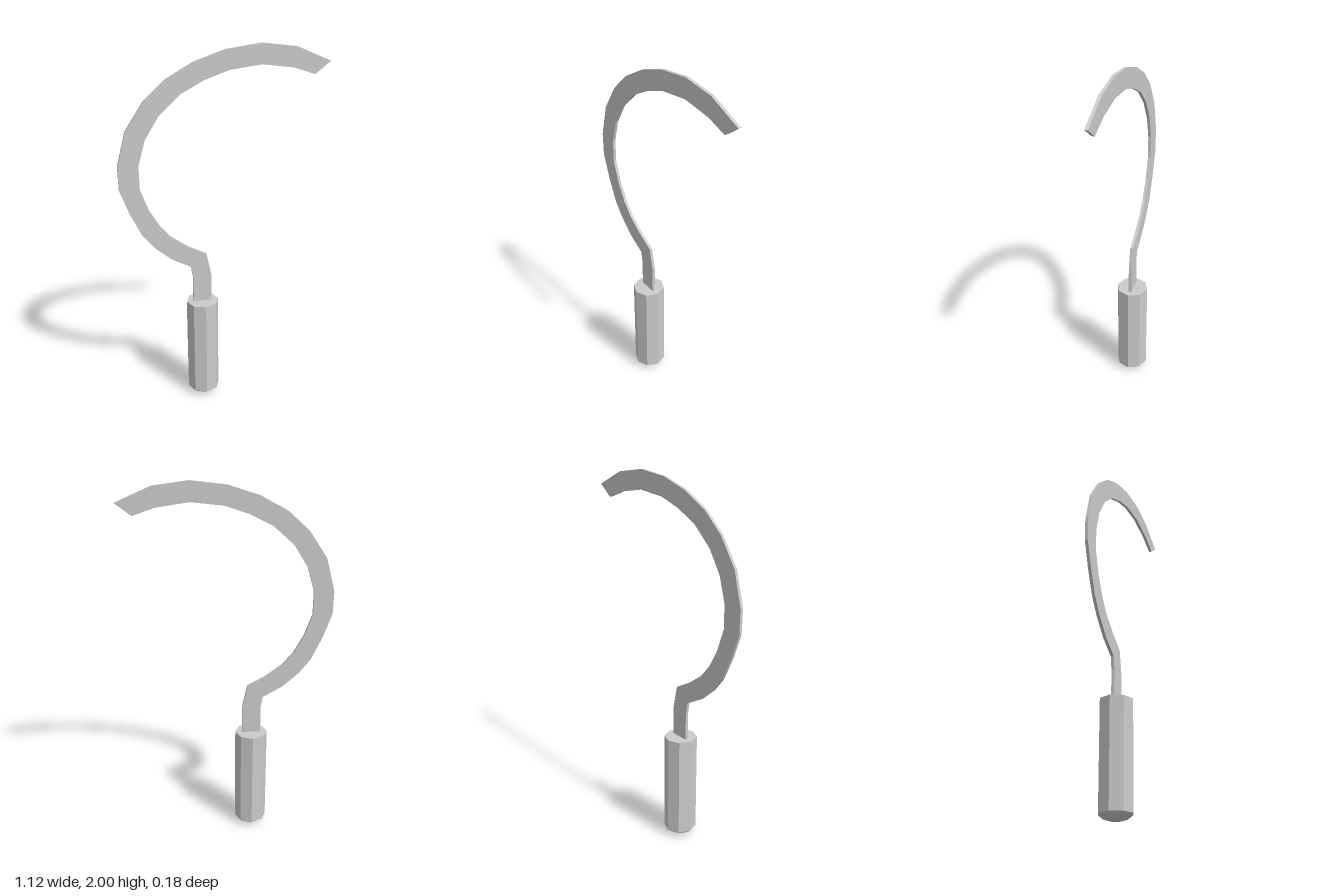
import * as THREE from 'three';

const HANDLE_X = -0.132, RADIUS = 0.09, SIDES = 8, THICKNESS = 0.016;

// Blade outline: outer edge from tang to tip, inner edge likewise
const OUTER = [
  [-0.183, 0.57], [-0.183, 0.75], [-0.193, 0.817], [-0.299, 0.876], [-0.389, 0.955], [-0.452, 1.034],
  [-0.511, 1.161], [-0.558, 1.294], [-0.56, 1.421], [-0.511, 1.601], [-0.415, 1.743], [-0.304, 1.844],
  [-0.161, 1.923], [0.003, 1.977], [0.188, 2.0], [0.373, 1.976], [0.555, 1.897],
];
const INNER = [
  [-0.081, 0.57], [-0.081, 0.76], [-0.107, 0.886], [-0.209, 0.942], [-0.299, 1.008], [-0.357, 1.077],
  [-0.41, 1.172], [-0.453, 1.294], [-0.453, 1.421], [-0.415, 1.55], [-0.341, 1.669], [-0.23, 1.77],
  [-0.108, 1.833], [0.019, 1.876], [0.188, 1.896], [0.357, 1.872], [0.472, 1.833],
];

export function createModel() {
  const group = new THREE.Group();
  const flat = new THREE.MeshStandardMaterial({ color: 0xcccccc, flatShading: true });
  const smooth = new THREE.MeshStandardMaterial({ color: 0xcccccc });

  const add = (name, geometry, material, x, y, z) => {
    const mesh = new THREE.Mesh(geometry, material);
    mesh.name = name;
    mesh.position.set(x, y, z);
    group.add(mesh);
  };

  // Curved blade with its tang, one flat plate
  const outline = [...OUTER, ...[...INNER].reverse()].map(([x, y]) => new THREE.Vector2(x, y));
  const blade = new THREE.ExtrudeGeometry(new THREE.Shape(outline), { depth: THICKNESS, bevelEnabled: false });
  add('blade', blade, flat, 0, 0, -THICKNESS / 2);

  // Octagonal grip: closed on top, open where the domed end meets it
  const base = 0.035, top = 0.6;
  const grip = new THREE.CylinderGeometry(RADIUS, RADIUS, top - base, SIDES, 1);
  add('handle', grip, flat, HANDLE_X, (top + base) / 2, 0);

  // Shallow domed end of the handle
  const dome = [[0, 0], [0.03, 0.003], [0.062, 0.013], [RADIUS, base]].map(([r, y]) => new THREE.Vector2(r, y));
  add('handleEnd', new THREE.LatheGeometry(dome, SIDES), smooth, HANDLE_X, 0, 0);

  return group;
}
